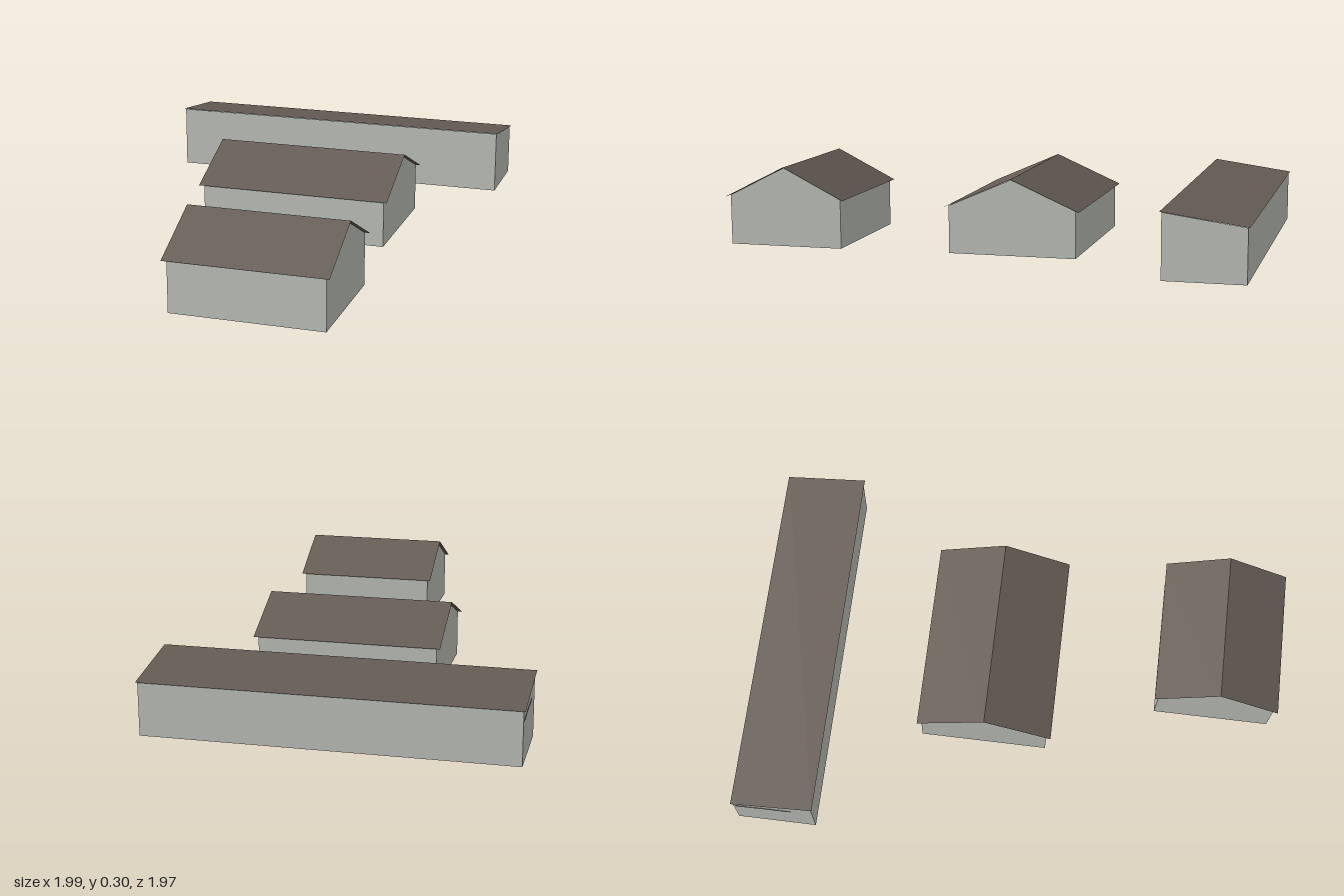
import * as THREE from 'three';

const material = (name, color) => {
  const m = new THREE.MeshStandardMaterial({ color, side: THREE.DoubleSide });
  m.name = name;
  return m;
};

// Flat sheet mesh made from convex polygons, each listed counter-clockwise from outside
function sheets(name, polygons, mat) {
  const pos = [];
  for (const p of polygons)
    for (let i = 1; i < p.length - 1; i++) pos.push(...p[0], ...p[i], ...p[i + 1]);
  const g = new THREE.BufferGeometry();
  g.setAttribute('position', new THREE.Float32BufferAttribute(pos, 3));
  g.computeVertexNormals();
  const mesh = new THREE.Mesh(g, mat);
  mesh.name = name;
  return mesh;
}

// Open-bottomed shed: length along x, roofLine is [z, y] points from back to front
function shed({ name, x, z, base, length, roofLine, overhang }, wallMat, roofMat) {
  const group = new THREE.Group();
  group.name = name;
  const L = length / 2, l = L - overhang, n = roofLine.length;

  // Walls stop just under the roof sheet, inset by the overhang
  const inset = (a, b) => {
    const t = overhang / Math.abs(b[0] - a[0]);
    return [a[0] + (b[0] - a[0]) * t, a[1] + (b[1] - a[1]) * t - 0.002];
  };
  const top = roofLine.map(([pz, py], i) =>
    i === 0 ? inset(roofLine[0], roofLine[1])
      : i === n - 1 ? inset(roofLine[n - 1], roofLine[n - 2])
        : [pz, py - 0.002]);
  const [back, front] = [top[0], top[n - 1]];
  const outline = [[back[0], base], ...top, [front[0], base]];
  const end = (px) => outline.map(([pz, py]) => [px, py, pz]);

  group.add(sheets('endWalls', [end(l), end(-l).reverse()], wallMat));
  group.add(sheets('sideWalls', [
    [[-l, base, front[0]], [l, base, front[0]], [l, front[1], front[0]], [-l, front[1], front[0]]],
    [[l, base, back[0]], [-l, base, back[0]], [-l, back[1], back[0]], [l, back[1], back[0]]],
  ], wallMat));

  // One sloping sheet between each pair of roof points
  const slopes = roofLine.slice(1).map(([fz, fy], i) => {
    const [bz, by] = roofLine[i];
    return [[-L, fy, fz], [L, fy, fz], [L, by, bz], [-L, by, bz]];
  });
  group.add(sheets('roof', slopes, roofMat));

  group.position.set(x, 0, z);
  group.rotation.y = THREE.MathUtils.degToRad(34.7);
  return group;
}

export function createModel() {
  const walls = material('wall grey', 0xc6c9c3);
  const roof = material('roof brown', 0x655b54);
  const crack = material('crack grey', 0x8a8c88);
  const model = new THREE.Group();
  model.name = 'sheds';

  const longShed = shed({
    name: 'longShed', x: -0.387, z: -0.5, base: 0, length: 1.29, overhang: 0.006,
    roofLine: [[-0.147, 0.188], [0.147, 0.229]],
  }, walls, roof);
  model.add(longShed);

  model.add(shed({
    name: 'middleShed', x: 0.08, z: 0.037, base: 0.01, length: 0.686, overhang: 0.0145,
    roofLine: [[-0.242, 0.174], [0, 0.28], [0.242, 0.174]],
  }, walls, roof));

  model.add(shed({
    name: 'smallShed', x: 0.644, z: 0.647, base: 0.015, length: 0.536, overhang: 0.0135,
    roofLine: [[-0.222, 0.188], [0, 0.3], [0.222, 0.188]],
  }, walls, roof));

  // Thin uneven crack across one end wall of the long shed
  const path = [[-0.135, 0.152], [-0.08, 0.153], [-0.04, 0.157], [0.065, 0.158]];
  for (let i = 1; i < path.length; i++) {
    const [z0, y0] = path[i - 1], [z1, y1] = path[i];
    const strip = new THREE.Mesh(
      new THREE.BoxGeometry(0.003, 0.005, Math.hypot(z1 - z0, y1 - y0)), crack);
    strip.name = 'wallCrack';
    strip.position.set(-0.639, (y0 + y1) / 2, (z0 + z1) / 2);
    strip.rotation.x = -Math.atan2(y1 - y0, z1 - z0);
    longShed.add(strip);
  }
  return model;
}
